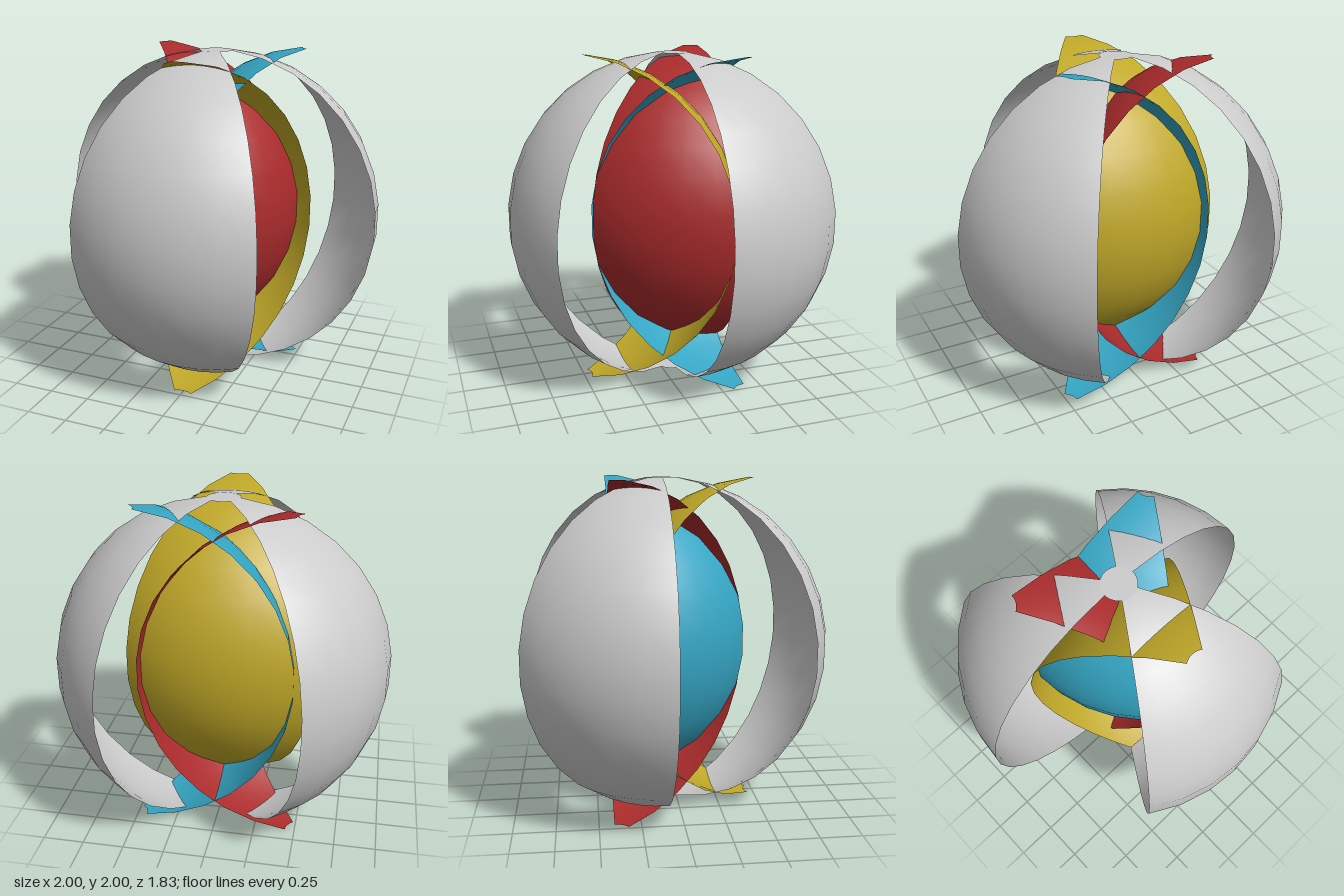
import * as THREE from 'three';

const STEP = 11.25;                                   // degrees per facet
const RAD = Math.PI / 180;
const R = 1 / Math.cos(STEP / 2 * RAD);               // equator facets lie at radius 1
const CENTRE_Z = -0.084;

function material(color) {
  return new THREE.MeshStandardMaterial({ color, side: THREE.DoubleSide });
}

// Slice of the sphere shell; start counts facets from +x towards +z
function slice(start, count, mat, name) {
  const phiStart = Math.PI - (start + count) * STEP * RAD;
  const geometry = new THREE.SphereGeometry(
    R, count, 15, phiStart, count * STEP * RAD, STEP / 2 * RAD, 15 * STEP * RAD);
  const mesh = new THREE.Mesh(geometry, mat);
  mesh.name = name;
  mesh.position.set(0, 1, CENTRE_Z);
  return mesh;
}

export function createModel() {
  const model = new THREE.Group();
  model.name = 'slicedSphere';
  const grey = material(0xcccccc);

  // Outer shell: three grey slices left in place
  model.add(
    slice(5, 6, grey, 'frontShell'),
    slice(16, 5, grey, 'backRightShell'),
    slice(27, 5, grey, 'backLeftShell'));

  // Coloured slices pushed inwards through the axis
  const inner = [
    [0, 5, 0xab2b2c, 'redInnerSlice', -0.54, -0.325],
    [11, 5, 0x35a6c4, 'blueInnerSlice', 0.54, -0.325],
    [21, 6, 0xc0a828, 'yellowInnerSlice', 0, 0.63],
  ];
  for (const [start, count, color, name, dx, dz] of inner) {
    const mesh = slice(start, count, material(color), name);
    mesh.position.x += dx;
    mesh.position.z += dz;
    model.add(mesh);
  }

  // Small flat caps joining the grey slices at both poles
  for (const side of [1, -1]) {
    const geometry = new THREE.CircleGeometry(R * Math.sin(STEP / 2 * RAD), 32);
    geometry.rotateX(-side * Math.PI / 2);
    const cap = new THREE.Mesh(geometry, grey);
    cap.name = side > 0 ? 'topCap' : 'bottomCap';
    cap.position.set(0, 1 + side, CENTRE_Z);
    model.add(cap);
  }
  return model;
}
